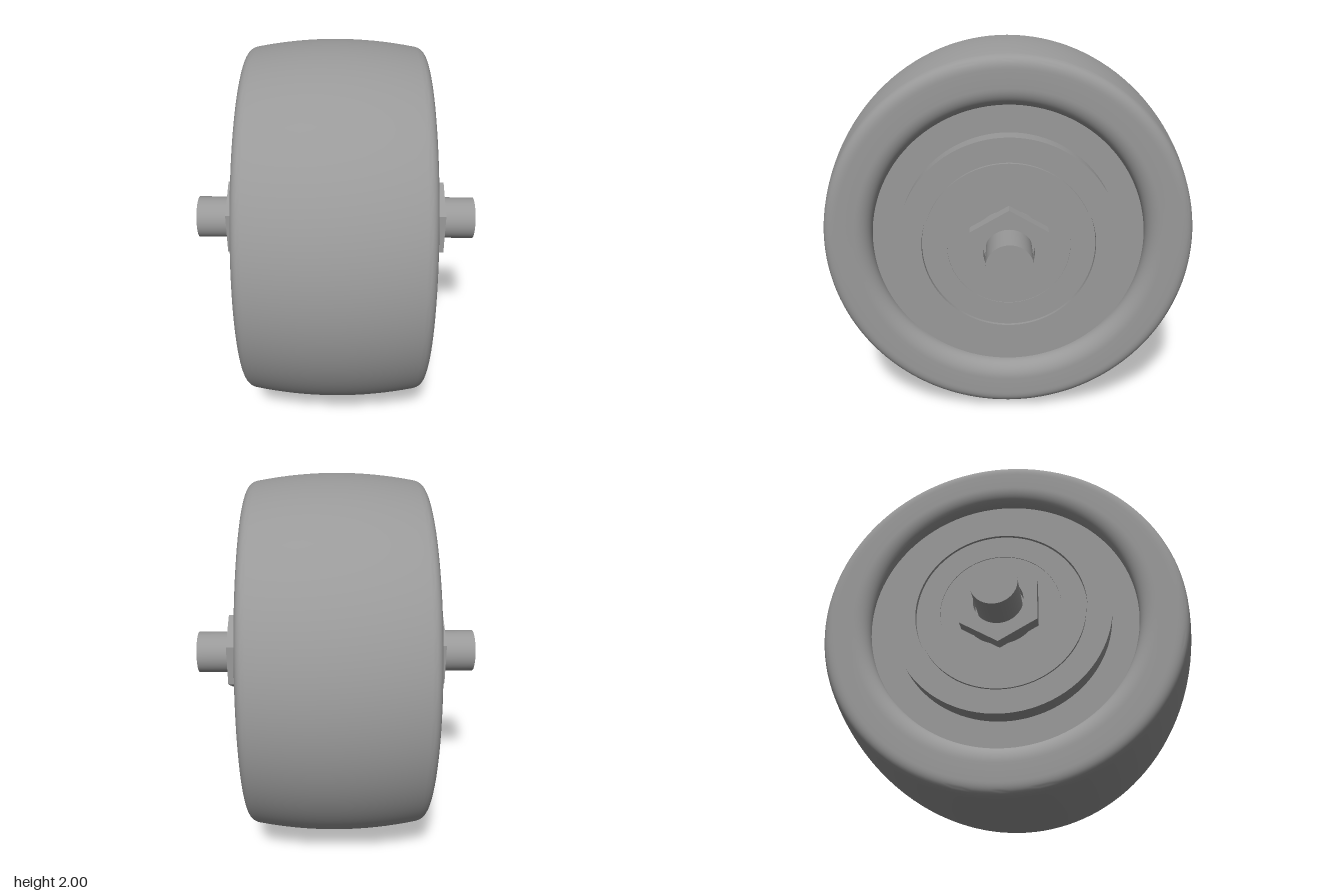
import * as THREE from 'three';
import { toCreasedNormals } from 'three/addons/utils/BufferGeometryUtils.js';

// Full revolved body around x, from the +x half of a profile given as [radius, x]
function turned(half, segments = 96) {
  const right = half.map(([r, x]) => new THREE.Vector2(r, x));
  const left = half.map(([r, x]) => new THREE.Vector2(r, -x)).reverse();
  const geo = new THREE.LatheGeometry([...left, ...right], segments);
  geo.rotateZ(-Math.PI / 2);
  return toCreasedNormals(geo, 0.5);
}

export function createModel() {
  const model = new THREE.Group();
  model.name = 'wheel';
  const grey = new THREE.MeshStandardMaterial({ color: 0x999999 });
  grey.name = 'grey';
  const wheel = new THREE.Group();
  wheel.name = 'wheelAssembly';
  wheel.position.y = 1;
  model.add(wheel);

  const add = (name, geo) => {
    const mesh = new THREE.Mesh(geo, grey);
    mesh.name = name;
    wheel.add(mesh);
    return mesh;
  };

  // Tyre: crowned tread, rounded shoulder, flat wall, rounded inner lip
  const tyre = [];
  for (let i = 1; i <= 8; i++) {
    const t = i / 8;
    tyre.push([1 - 0.04 * t * t, 0.42 * t]);
  }
  const shoulder = new THREE.QuadraticBezierCurve(
    new THREE.Vector2(0.96, 0.42), new THREE.Vector2(0.95, 0.475), new THREE.Vector2(0.89, 0.475));
  shoulder.getPoints(10).slice(1).forEach((p) => tyre.push([p.x, p.y]));
  for (let i = 0; i <= 10; i++) {
    const a = (i / 10) * Math.PI / 2;
    tyre.push([0.80 - 0.09 * Math.sin(a), 0.40 + 0.075 * Math.cos(a)]);
  }
  add('tyre', turned([[1, 0.001], ...tyre], 128));

  // Hub: recessed web with a raised boss
  add('hub', turned([[0.712, 0.40], [0.57, 0.40], [0.57, 0.515], [0.445, 0.515],
    [0.445, 0.49], [0.43, 0.49]]));

  // Bearing with a slightly sunken inner race
  add('bearing', turned([[0.438, 0.51], [0.315, 0.51], [0.315, 0.506], [0, 0.506]]));

  // Spacer washers and axle
  add('washers', turned([[0.195, 0.53], [0, 0.53]], 64));
  add('axle', turned([[0.117, 0.785], [0, 0.785]], 64));

  // Hexagonal nuts, one on each side, with clearance around the axle
  const hex = new THREE.Shape();
  for (let i = 0; i < 6; i++) {
    const a = Math.PI / 6 + i * Math.PI / 3;
    const x = 0.227 * Math.cos(a), y = 0.227 * Math.sin(a);
    if (i === 0) hex.moveTo(x, y); else hex.lineTo(x, y);
  }
  hex.closePath();
  hex.holes.push(new THREE.Path().absarc(0, 0, 0.128, 0, Math.PI * 2, true));
  const nut = new THREE.ExtrudeGeometry(hex, { depth: 0.077, bevelEnabled: false, curveSegments: 48 });
  nut.translate(0, 0, 0.528);
  for (const [name, turn] of [['leftNut', 1], ['rightNut', -1]]) {
    add(name, toCreasedNormals(nut, 0.5)).rotation.y = turn * Math.PI / 2;
  }
  return model;
}
